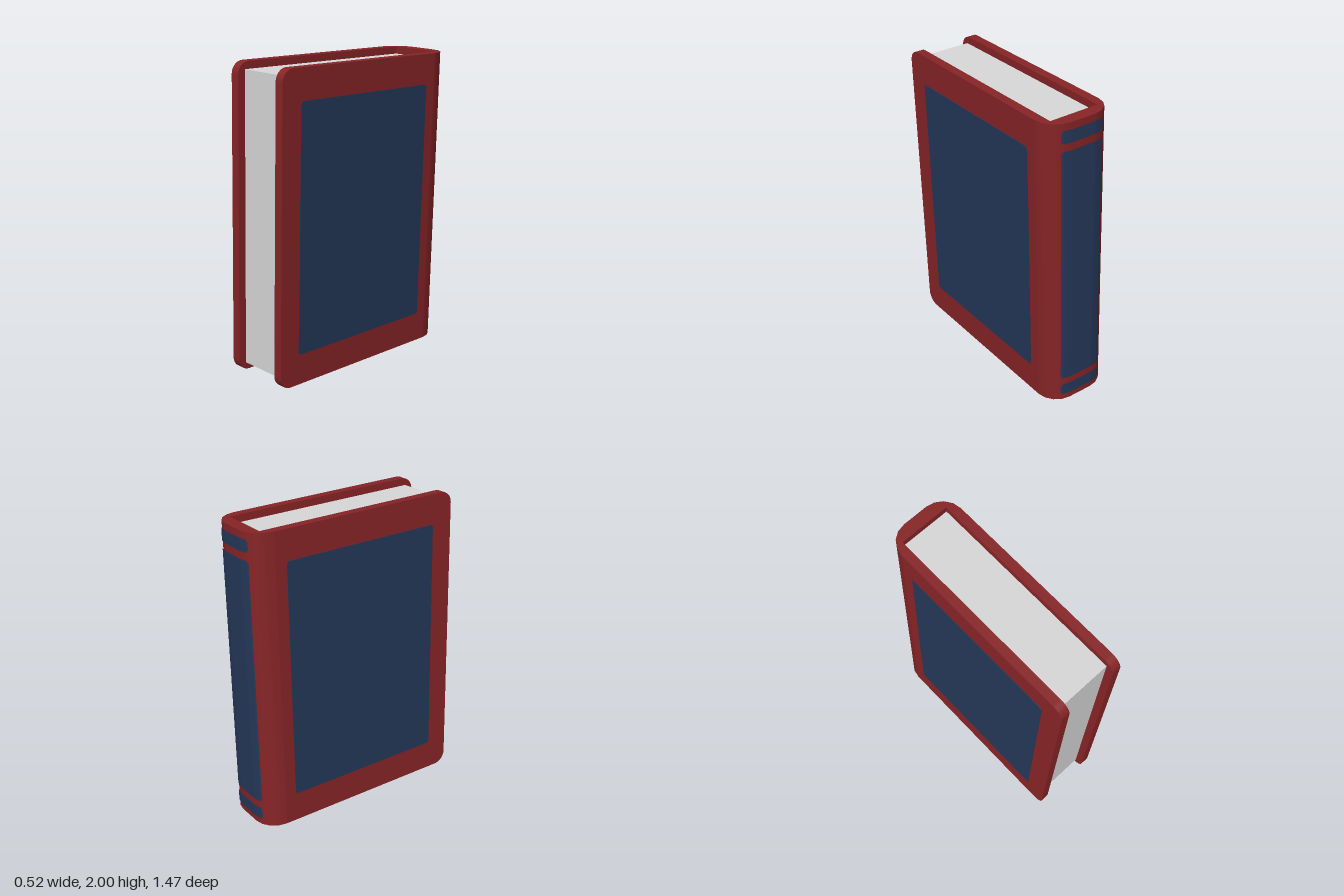
import * as THREE from 'three';
import { toCreasedNormals } from 'three/addons/utils/BufferGeometryUtils.js';

const W = 0.23;        // half width
const H = 0.993;       // half height
const D = 0.733;       // half depth
const T = 0.06;        // board thickness
const R = 0.145;       // spine rounding
const TILT = -0.03;

const red = new THREE.MeshStandardMaterial({ color: 0x872426 });
red.name = 'coverRed';
const blue = new THREE.MeshStandardMaterial({ color: 0x253859 });
blue.name = 'panelBlue';
const paper = new THREE.MeshStandardMaterial({ color: 0xd8d8d8 });
paper.name = 'paper';

function add(parent, name, geometry, material) {
  const mesh = new THREE.Mesh(geometry, material);
  mesh.name = name;
  parent.add(mesh);
  return mesh;
}

// Rectangle with separate corner radii at its low-x and high-x ends
function roundedRect(x0, x1, y0, y1, rLow, rHigh) {
  const s = new THREE.Shape();
  s.moveTo(x0 + rLow, y0);
  s.lineTo(x1 - rHigh, y0);
  s.absarc(x1 - rHigh, y0 + rHigh, rHigh, -Math.PI / 2, 0);
  s.lineTo(x1, y1 - rHigh);
  s.absarc(x1 - rHigh, y1 - rHigh, rHigh, 0, Math.PI / 2);
  s.lineTo(x0 + rLow, y1);
  if (rLow > 0) s.absarc(x0 + rLow, y1 - rLow, rLow, Math.PI / 2, Math.PI);
  s.lineTo(x0, y0 + rLow);
  if (rLow > 0) s.absarc(x0 + rLow, y0 + rLow, rLow, Math.PI, Math.PI * 1.5);
  return s;
}

// Upright slab drawn in (z, y), centred on the given x
function slab(shape, thickness, x) {
  const g = new THREE.ExtrudeGeometry(shape, { depth: thickness, bevelEnabled: false, curveSegments: 6 });
  g.rotateY(-Math.PI / 2).translate(x + thickness / 2, 0, 0);
  return toCreasedNormals(g, 0.5);
}

// Outer spine outline in plan, from the +x side round the back to -x
const outline = [];
for (const side of [1, -1]) {
  for (let i = 0; i <= 4; i++) {
    const a = (side > 0 ? i : 4 - i) * Math.PI / 8;
    outline.push(new THREE.Vector2(side * (W - R + R * Math.cos(a)), -D + R - R * Math.sin(a)));
  }
}

function spineZ(x) {
  for (let i = 0; i < outline.length - 1; i++) {
    const a = outline[i], b = outline[i + 1];
    if (x <= a.x && x >= b.x) return THREE.MathUtils.lerp(a.y, b.y, (a.x - x) / (a.x - b.x));
  }
  return -D + R;
}

// Thin label wrapped round the spine, with rounded corners
function spineLabel(y0, y1) {
  const half = 0.15, r = 0.018, h = (y1 - y0) / 2;
  const g = new THREE.PlaneGeometry(half * 2, 2, 40, 1);
  g.rotateY(Math.PI);
  const p = g.attributes.position;
  for (let i = 0; i < p.count; i++) {
    const x = p.getX(i);
    const t = Math.max(0, Math.abs(x) - (half - r));
    const inset = r - Math.sqrt(Math.max(0, r * r - t * t));
    p.setXYZ(i, x, (y0 + y1) / 2 + p.getY(i) * (h - inset), spineZ(x) - 0.005);
  }
  g.computeVertexNormals();
  return g;
}

export function createModel() {
  const group = new THREE.Group();
  group.name = 'book';
  const book = new THREE.Group();
  book.name = 'tiltedBook';
  book.position.y = 1;
  book.rotation.z = TILT;
  group.add(book);

  // Cover boards with their inlaid panels
  const boardShape = roundedRect(-D + R, D, -H, H, 0, 0.08);
  const panelShape = roundedRect(-0.512, 0.587, -0.795, 0.795, 0.02, 0.02);
  for (const [name, s] of [['left', 1], ['right', -1]]) {
    add(book, name + 'Board', slab(boardShape, T, s * (W - T / 2)), red);
    add(book, name + 'Panel', slab(panelShape, 0.004, s * (W + 0.001)), blue);
  }

  // Spine: rounded outside, square inside
  const plan = new THREE.Shape([
    ...outline,
    new THREE.Vector2(-W + T, -D + R),
    new THREE.Vector2(-W + T, -0.65),
    new THREE.Vector2(W - T, -0.65),
    new THREE.Vector2(W - T, -D + R),
  ]);
  const spine = new THREE.ExtrudeGeometry(plan, { depth: H * 2, bevelEnabled: false });
  spine.rotateX(Math.PI / 2).translate(0, H, 0);
  add(book, 'spine', toCreasedNormals(spine, 0.5), red);

  // Spine labels
  add(book, 'spinePanel', spineLabel(-0.82, 0.82), blue);
  add(book, 'upperSpineLabel', spineLabel(0.868, 0.95), blue);
  add(book, 'lowerSpineLabel', spineLabel(-0.95, -0.868), blue);

  // Page block
  const pages = new THREE.BoxGeometry((W - T) * 2, 1.89, 1.33);
  add(book, 'pages', pages, paper).position.z = 0.015;

  return group;
}
